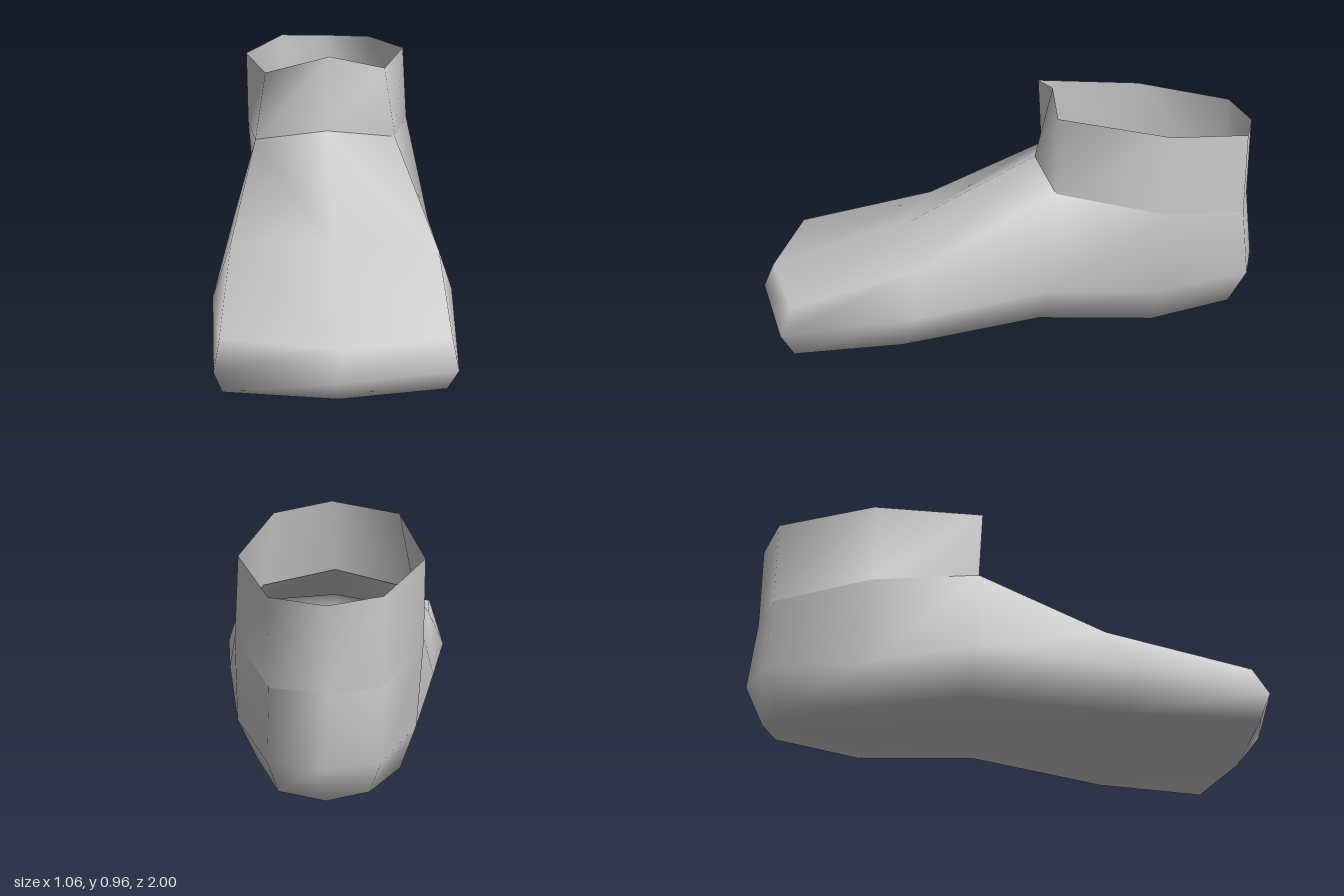
import * as THREE from 'three';
import { mergeVertices } from 'three/addons/utils/BufferGeometryUtils.js';

// Contour lines run from heel to toe: heel, ankle side, throat, ball, toe.
const left = {
  top: [[-0.45, 0.49, -0.88], [-0.53, 0.535, -0.5], [-0.41, 0.61, -0.1], [-0.41, 0.36, 0.38], [-0.33, 0.235, 0.93]],
  side: [[-0.45, 0.21, -0.9], [-0.51, 0.2, -0.5], [-0.51, 0.26, -0.1], [-0.46, 0.18, 0.5], [-0.34, 0.13, 0.99]],
  sole: [[-0.4, 0.07, -0.84], [-0.46, 0.045, -0.55], [-0.44, 0.09, -0.13], [-0.4, 0.035, 0.45], [-0.32, 0.03, 0.95]],
};
const right = {
  top: [[-0.06, 0.48, -0.95], [0.15, 0.545, -0.64], [0.155, 0.615, -0.21], [0.4, 0.36, 0.33], [0.5, 0.235, 0.79]],
  side: [[-0.06, 0.21, -0.98], [0.15, 0.21, -0.62], [0.3, 0.26, -0.2], [0.45, 0.19, 0.3], [0.53, 0.125, 0.83]],
  sole: [[-0.08, 0.07, -0.91], [0.08, 0.05, -0.6], [0.2, 0.09, -0.15], [0.38, 0.035, 0.37], [0.485, 0.025, 0.79]],
};
// Centre line points
const soleMid = [[-0.26, 0.06, -0.93], [-0.2, 0.015, -0.55], [-0.12, 0.06, -0.12], [0, 0, 0.4], [0.1, 0.015, 0.91]];
const vampMid = [[-0.11, 0.665, -0.1], [0, 0.4, 0.4], [0.13, 0.24, 0.95]];
const heelMid = [[-0.27, 0.48, -0.97], [-0.27, 0.21, -1], soleMid[0]];
const toeMid = [vampMid[2], [0.11, 0.13, 1], soleMid[4]];
// Upper edge of the collar, from the left of the heel round the front
const rim = [
  [-0.45, 0.82, -0.88], [-0.53, 0.85, -0.5], [-0.36, 0.905, -0.09], [-0.11, 0.96, -0.17],
  [0.11, 0.91, -0.21], [0.13, 0.86, -0.65], [-0.06, 0.81, -0.95], [-0.27, 0.8, -0.97],
];

// Join rows of points into one smooth surface
function surface(patches) {
  const positions = [], index = [];
  for (const rows of patches) {
    const base = positions.length / 3, n = rows[0].length;
    rows.forEach((row) => row.forEach((p) => positions.push(...p)));
    for (let i = 0; i < rows.length - 1; i++) {
      for (let j = 0; j < n - 1; j++) {
        const a = base + i * n + j, b = a + n;
        index.push(a, b, a + 1, b, b + 1, a + 1);
      }
    }
  }
  let geometry = new THREE.BufferGeometry();
  geometry.setAttribute('position', new THREE.Float32BufferAttribute(positions, 3));
  geometry.setIndex(index);
  geometry = mergeVertices(geometry);
  geometry.computeVertexNormals();
  return geometry;
}

export function createModel() {
  const group = new THREE.Group();
  group.name = 'ankleBoot';
  const material = new THREE.MeshStandardMaterial({ color: 0xcccccc, side: THREE.DoubleSide });
  const add = (name, patches) => {
    const mesh = new THREE.Mesh(surface(patches), material);
    mesh.name = name;
    group.add(mesh);
  };

  // Rows across one end of the foot, from the upper line down to the sole
  const endCap = (k, mid) => ['top', 'side', 'sole'].map((row, i) => [left[row][k], mid[i], right[row][k]]);

  // Foot: walls, sole, vamp and both ends
  add('foot', [
    [left.top, left.side, left.sole],
    [right.sole, right.side, right.top],
    [left.sole, soleMid, right.sole],
    [right.top.slice(2), vampMid, left.top.slice(2)],
    endCap(4, toeMid),
    endCap(0, heelMid).reverse(),
  ]);

  // Open collar round the ankle, standing on the throat
  const throat = [
    ...left.top.slice(0, 3), vampMid[0], ...right.top.slice(0, 3).reverse(), heelMid[0],
  ];
  add('ankleCollar', [[[...rim, rim[0]], [...throat, throat[0]]]]);

  return group;
}
